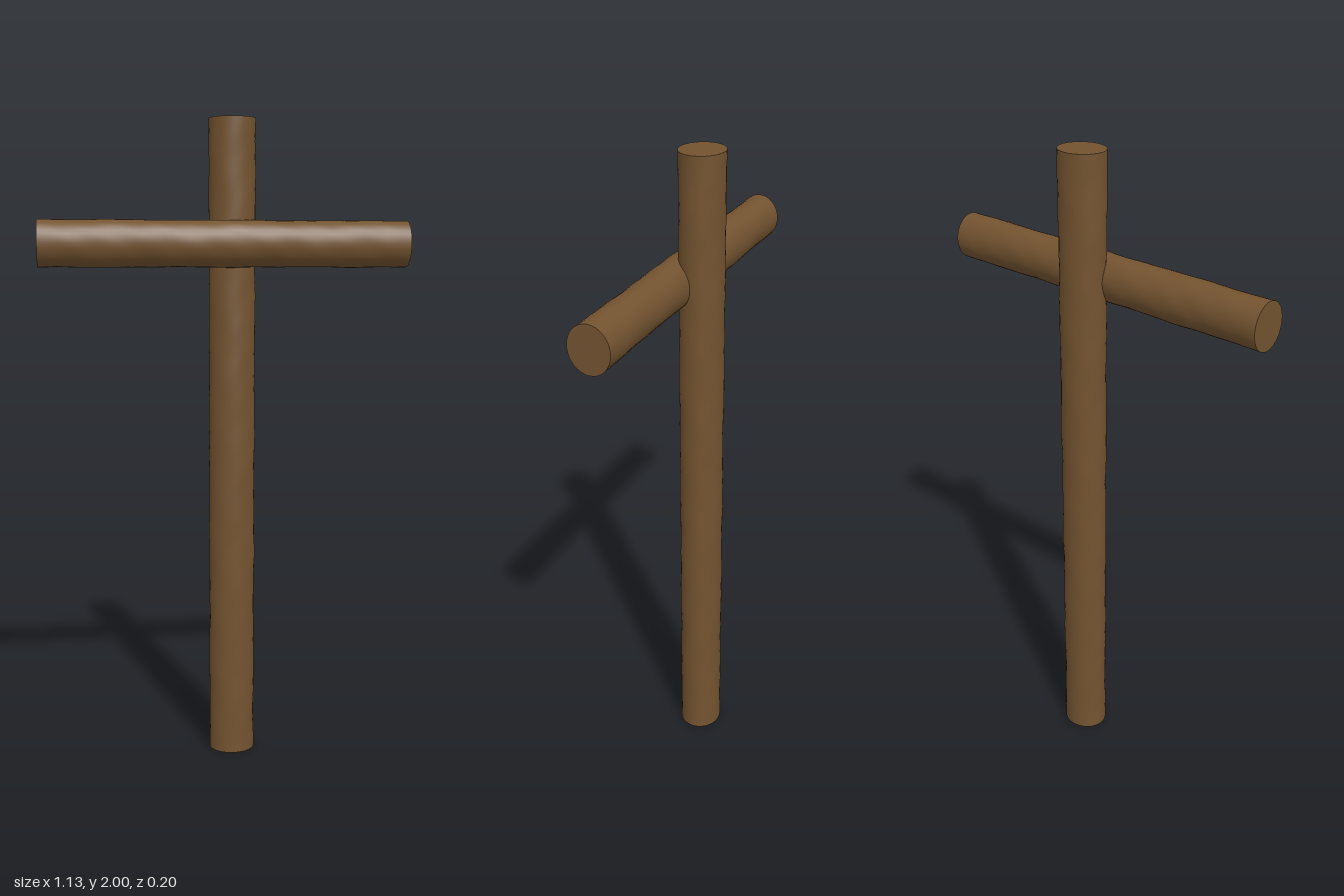
import * as THREE from 'three';

const SIDES = 32, RINGS = 60;

// Oval log along y, centred on the origin, with a slightly uneven hewn surface
function logGeometry(rx, rz, length, phase) {
  const geo = new THREE.CylinderGeometry(1, 1, length, SIDES, RINGS);
  const pos = geo.attributes.position;
  for (let i = 0; i < pos.count; i++) {
    const x = pos.getX(i), y = pos.getY(i), z = pos.getZ(i);
    const a = Math.atan2(z, x);
    const fade = Math.min(1, (length / 2 - Math.abs(y)) / 0.06);
    const bump = 0.5 * Math.sin(17 * y + 2 * a + phase)
      + 0.35 * Math.sin(31 * y - 3 * a + 2 * phase)
      + 0.25 * Math.sin(53 * y + 5 * a);
    const k = 1 + fade * (0.022 * bump - 0.008);
    pos.setXYZ(i, x * rx * k, y, z * rz * k);
  }
  geo.computeVertexNormals();

  // Smooth the side seam
  const n = geo.attributes.normal, p = new THREE.Vector3(), q = new THREE.Vector3();
  for (let r = 0; r <= RINGS; r++) {
    const first = r * (SIDES + 1), last = first + SIDES;
    p.fromBufferAttribute(n, first).add(q.fromBufferAttribute(n, last)).normalize();
    n.setXYZ(first, p.x, p.y, p.z);
    n.setXYZ(last, p.x, p.y, p.z);
  }
  return geo;
}

export function createModel() {
  const group = new THREE.Group();
  group.name = 'woodenCross';

  const wood = new THREE.MeshStandardMaterial({ color: 0x735330 });
  wood.name = 'brown wood';

  // Upright log
  const post = new THREE.Mesh(logGeometry(0.072, 0.066, 2, 0.4), wood);
  post.name = 'uprightPost';
  post.position.set(0.03, 1, -0.034);
  group.add(post);

  // Horizontal log set into the front of the post
  const beam = new THREE.Mesh(logGeometry(0.071, 0.063, 1.126, 2.1), wood);
  beam.name = 'crossBeam';
  beam.rotation.z = Math.PI / 2;
  beam.position.set(0, 1.624, 0.033);
  group.add(beam);

  return group;
}
